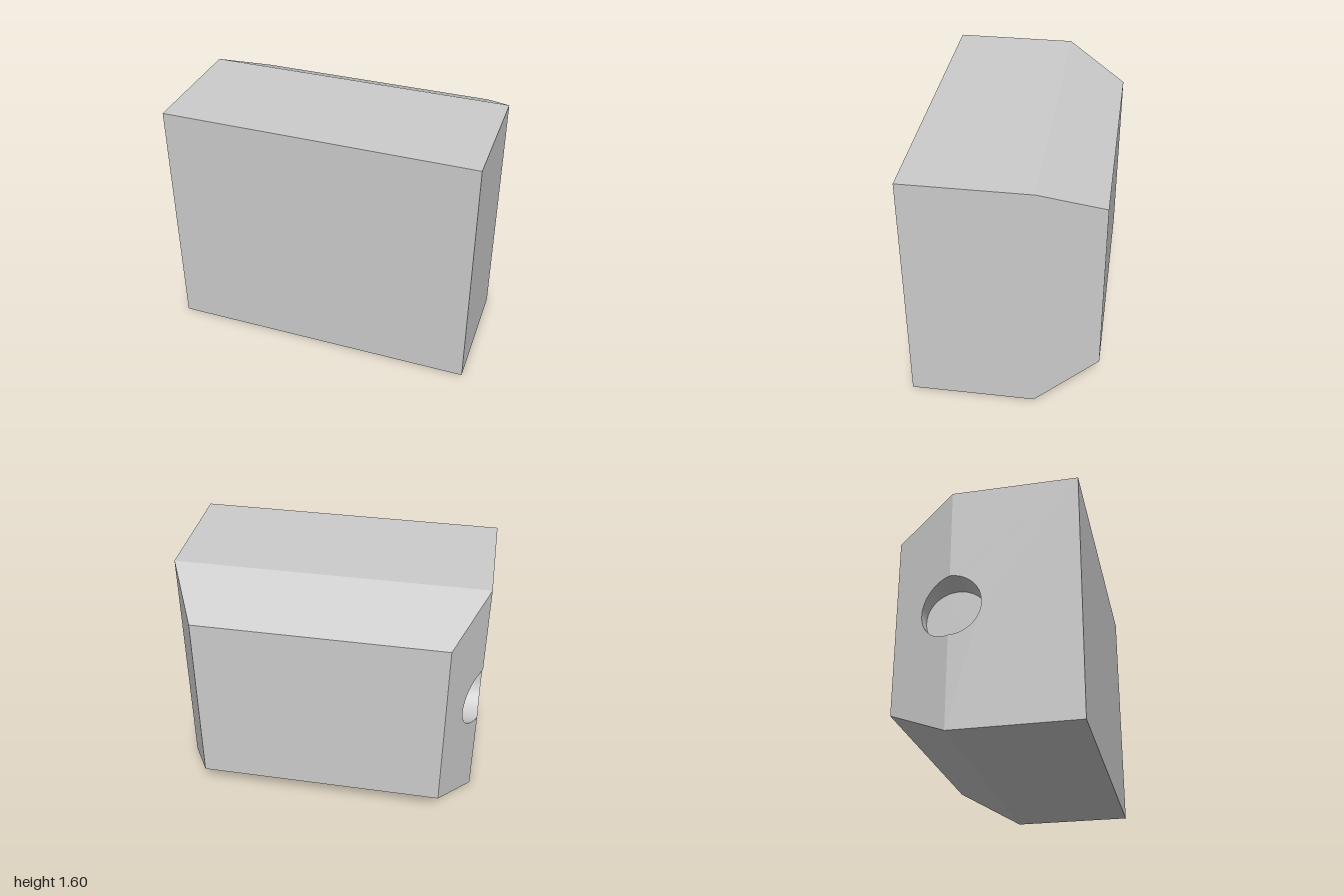
import * as THREE from 'three';
import { ParametricGeometry } from 'three/addons/geometries/ParametricGeometry.js';

const HOLE = { y: 0.8, z: -0.2, r: 0.2, floorX: -0.8 };

// x of the drilled side: flat at the front, chamfered toward the back
const sideX = (z) => -1 + Math.max(0, (-0.2 - z) / 2);

// Rectangular cross-section, corners counter-clockwise seen from the front
function ring(halfWidth, bottom, top, z) {
  return [[-halfWidth, bottom, z], [halfWidth, bottom, z], [halfWidth, top, z], [-halfWidth, top, z]];
}

export function createModel() {
  const group = new THREE.Group();
  const material = new THREE.MeshStandardMaterial({ color: 0xcccccc });
  const add = (name, geometry) => {
    const mesh = new THREE.Mesh(geometry, material);
    mesh.name = name;
    group.add(mesh);
    return mesh;
  };

  // Block shell: front and back faces, plus every side except the drilled one
  const rings = [ring(1, 0, 1.6, 0.6), ring(1, 0, 1.6, -0.2), ring(0.8, 0.2, 1.4, -0.6)];
  const positions = [];
  const quad = (a, b, c, d) => positions.push(...a, ...b, ...c, ...a, ...c, ...d);
  quad(...rings[0]);
  quad(...[...rings[2]].reverse());
  for (let k = 0; k < 2; k++) {
    const near = rings[k], far = rings[k + 1];
    for (let i = 0; i < 3; i++) quad(far[i], far[i + 1], near[i + 1], near[i]);
  }
  const shell = new THREE.BufferGeometry();
  shell.setAttribute('position', new THREE.Float32BufferAttribute(positions, 3));
  shell.computeVertexNormals();
  add('blockShell', shell);

  // Drilled side: two panels drawn in (z, y), each with half of the round hole
  const sidePanel = (name, corners, startAngle) => {
    const shape = new THREE.Shape(corners.map(([z, y]) => new THREE.Vector2(z, y)));
    shape.absarc(HOLE.z, HOLE.y, HOLE.r, startAngle, startAngle - Math.PI, true);
    const geometry = new THREE.ShapeGeometry(shape, 32);
    const p = geometry.attributes.position;
    for (let i = 0; i < p.count; i++) {
      const z = p.getX(i);
      p.setXYZ(i, sideX(z), p.getY(i), z);
    }
    geometry.computeVertexNormals();
    add(name, geometry);
  };
  sidePanel('drilledSide', [[-0.2, 0], [0.6, 0], [0.6, 1.6], [-0.2, 1.6]], Math.PI / 2);
  sidePanel('drilledChamfer', [[-0.2, 1.6], [-0.6, 1.4], [-0.6, 0.2], [-0.2, 0]], -Math.PI / 2);

  // Blind hole: smooth wall from the bent rim to a flat floor
  add('holeWall', new ParametricGeometry((u, v, target) => {
    const angle = u * Math.PI * 2;
    const z = HOLE.z + HOLE.r * Math.cos(angle);
    target.set(THREE.MathUtils.lerp(sideX(z), HOLE.floorX, v), HOLE.y + HOLE.r * Math.sin(angle), z);
  }, 64, 1));

  const floor = add('holeFloor', new THREE.CircleGeometry(HOLE.r, 64));
  floor.rotation.y = -Math.PI / 2;
  floor.position.set(HOLE.floorX, HOLE.y, HOLE.z);

  return group;
}
